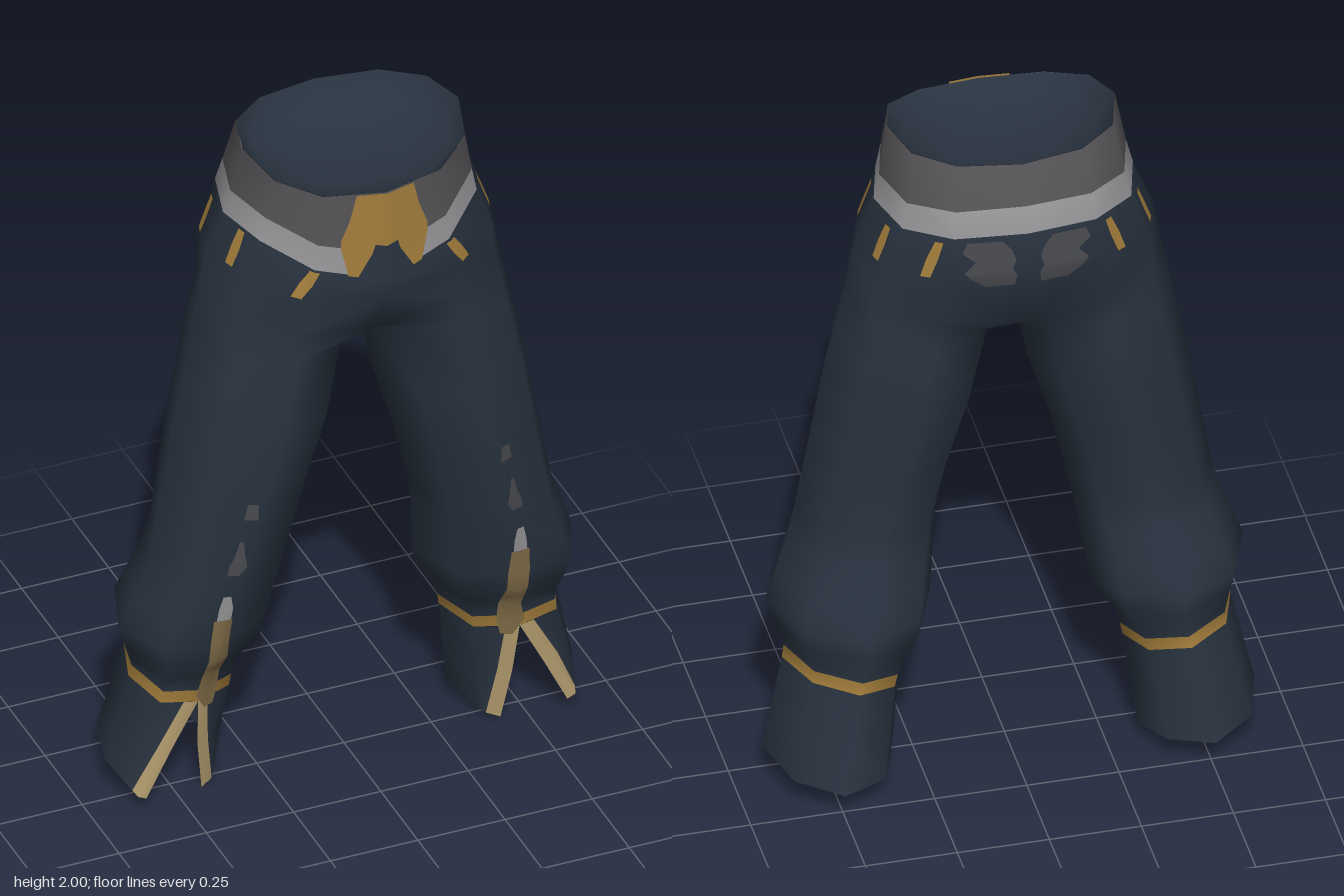
import * as THREE from 'three';

const flat = (name, color) => {
  const m = new THREE.MeshStandardMaterial({ color, side: THREE.DoubleSide });
  m.name = name;
  return m;
};
const MAT = {
  navy: flat('navy cloth', 0x293340),
  grey: flat('waistband grey', 0x555356),
  worn: flat('worn grey', 0x4a4b50),
  silver: flat('trim silver', 0x97979a),
  gold: flat('gold', 0xa47e3c),
  tan: flat('pale gold edging', 0xb29c6e),
  bronze: flat('bronze placket', 0x84704a),
};

const { lerp, degToRad } = THREE.MathUtils;
const HALF = 6; // segments round half the hips, and round the outside of a leg
const power = (v, n) => Math.sign(v) * Math.abs(v) ** (2 / n);
const mix = (p, q, f) => p.map((v, i) => lerp(v, q[i], f));

// Hip rings: y at front, side and back, half width, front z, back z, sharpness of the front dip
const HIPS = [
  [1.93, 2.0, 1.99, 0.31, 0.285, -0.2, 1.2],
  [1.735, 1.86, 1.885, 0.335, 0.287, -0.245, 4],
  [1.655, 1.79, 1.81, 0.352, 0.29, -0.265, 4],
  [1.6, 1.66, 1.69, 0.403, 0.29, -0.27, 4],
  [1.48, 1.52, 1.49, 0.43, 0.245, -0.217, 2],
];

// Leg sections: y, outer x, inner x, front z, back z, forward shift of the outer side
const LEG = [
  [1.43, 0.449, 0.021, 0.25, -0.215, 0],
  [1.2, 0.495, 0.068, 0.26, -0.205, 0],
  [1.0, 0.53, 0.13, 0.245, -0.19, 0],
  [0.8, 0.565, 0.175, 0.22, -0.175, 0.01],
  [0.72, 0.582, 0.19, 0.205, -0.195, 0.025],
  [0.54, 0.648, 0.213, 0.172, -0.26, 0.05],
  [0.48, 0.63, 0.225, 0.16, -0.252, 0.05],
  [0.4, 0.603, 0.283, 0.11, -0.24, 0.05],
  [0.34, 0.613, 0.3, 0.102, -0.245, 0.05],
  [0.08, 0.673, 0.333, 0.088, -0.292, 0.06],
  [0.0, 0.68, 0.338, 0.085, -0.295, 0.06],
];

// Corner k of hip ring i, counted from the front
function hipCorner(i, k, off) {
  const [yf, ys, yb, hx, zf, zb, dip] = HIPS[i];
  const a = (k * Math.PI) / HALF, c = Math.cos(a);
  const y = lerp(ys, c > 0 ? yf : yb, Math.abs(c) ** dip);
  const x = k % HALF ? power(Math.sin(a), 2.3) * (hx + off) : 0;
  return [x, y, (zf + zb) / 2 + power(c, 2.3) * ((zf - zb) / 2 + off)];
}

// Point on the faceted hips: angle from the front, ring position t, outward offset
function hipPoint(a, t, off) {
  const i = Math.min(Math.floor(t), HIPS.length - 2);
  const f = (a * HALF) / Math.PI, k = Math.min(Math.floor(f), HALF - 1);
  const along = (ring) => mix(hipCorner(ring, k, off), hipCorner(ring, k + 1, off), f - k);
  return mix(along(i), along(i + 1), t - i);
}

function legSection(y) {
  let i = 0;
  while (i < LEG.length - 2 && LEG[i + 1][0] > y) i++;
  const f = (LEG[i][0] - y) / (LEG[i][0] - LEG[i + 1][0]);
  const [, xo, xi, zf, zb, shift] = mix(LEG[i], LEG[i + 1], f);
  return { cx: (xo + xi) / 2, hx: (xo - xi) / 2, cz: (zf + zb) / 2, hz: (zf - zb) / 2, shift };
}

// Point on an eight-sided leg: degrees from the front towards the outside
function legPoint(deg, y) {
  const s = legSection(y), k = Math.floor(deg / 45);
  const corner = (n) => {
    const sin = Math.sin(degToRad(n * 45)), cos = Math.cos(degToRad(n * 45));
    const forward = s.shift * Math.max(sin, 0) * (1 + cos / 2);
    return [s.cx + s.hx * sin, y, s.cz + s.hz * cos + forward];
  };
  return mix(corner(k), corner(k + 1), deg / 45 - k);
}

// Point on the two front facets of a leg at a given x, slightly raised
function shinPoint(x, y) {
  const s = legSection(y), d = (x - s.cx) / s.hx;
  return [x, y, s.cz + s.hz * (1 - 0.414 * Math.abs(d)) + 1.354 * s.shift * Math.max(d, 0) + 0.009];
}

// Sloping height of the ankle band
const slope = (deg) => 0.022 * Math.sin(degToRad(deg)) - 0.025 * Math.cos(degToRad(deg));

export function createModel() {
  const positions = [], all = [], lookup = new Map(), parts = new Map();

  // Shared vertices keep the normals smooth across neighbouring parts
  function vertex(p) {
    const key = p.map((v) => Math.round(v * 1e5)).join();
    if (!lookup.has(key)) {
      lookup.set(key, positions.length / 3);
      positions.push(...p);
    }
    return lookup.get(key);
  }

  // Skin a grid of points, rows running down and columns from front to outside
  function skin(name, material, rows, mirrored) {
    if (!parts.has(name)) parts.set(name, { material, index: [] });
    const { index } = parts.get(name);
    const ids = rows.map((row) => row.map(([x, y, z]) => vertex([mirrored && x ? -x : x, y, z])));
    for (let r = 0; r < ids.length - 1; r++) {
      for (let k = 0; k < ids[r].length - 1; k++) {
        const a = ids[r][k], b = ids[r][k + 1], c = ids[r + 1][k + 1], d = ids[r + 1][k];
        const tris = mirrored ? [a, c, d, a, b, c] : [a, d, c, a, c, b];
        index.push(...tris);
        all.push(...tris);
      }
    }
  }

  // Thin painted patch: rows of [position, start, end]
  const patch = (rows, point) => rows.map(([t, a, b]) =>
    [0, 1, 2, 3, 4].map((k) => point(lerp(a, b, k / 4), t)));

  const hipRow = (i) => Array.from({ length: HALF + 1 }, (_, k) => hipCorner(i, k, 0));
  const hipPatch = (rows, off = 0.008) => patch(rows, (a, t) => hipPoint(a, t, off));
  const legRow = (y, tilt = 0) => Array.from({ length: 9 }, (_, k) =>
    legPoint(45 * (k - 1), y + tilt * slope(45 * (k - 1))));

  for (const mirrored of [false, true]) {
    const side = mirrored ? 'right' : 'left';

    // Hips and waistband
    skin('waistband', MAT.grey, [hipRow(0), hipRow(1)], mirrored);
    skin('waistTrim', MAT.silver, [hipRow(1), hipRow(2)], mirrored);
    skin('hips', MAT.navy, [hipRow(2), hipRow(3), hipRow(4)], mirrored);

    // Dished lining inside the waist: scale, share of the rim height
    const lining = [[0, 0], [0.5, 0.08], [0.85, 0.4], [0.995, 1]].map(([s, f]) =>
      hipRow(0).map(([x, y, z]) => [x * s, lerp(1.88, y, f), lerp(0.04, z, s)]));
    skin('lining', MAT.navy, lining, mirrored);

    // Leg, starting from half the hip ring closed by the crotch line
    const top = [...hipRow(4), [0, 1.45, 0], hipCorner(4, 0, 0)];
    const bandTop = legRow(0.376, 1), bandBottom = legRow(0.34, 1);
    const heights = [1.43, 1.2, 1.0, 0.8, 0.72, 0.62, 0.54, 0.48];
    skin(side + 'Leg', MAT.navy,
      [top, ...heights.map((y) => legRow(y)), legRow(0.415, 0.5), bandTop], mirrored);
    skin(side + 'AnkleBand', MAT.gold, [bandTop, bandBottom], mirrored);

    // Cuff split open at the front: columns of [top angle, hem angle, hem height]
    const cuff = (columns) => [0, 0.5, 1].map((t) => columns.map(([a, b, hem]) => {
      const deg = lerp(a, b, t);
      return legPoint(deg, lerp(0.34 + slope(deg), hem, t));
    }));
    const outerEdge = [17, 53, 0.055], innerEdge = [346, 317, 0.012];
    const wall = [0.1, 0.09, 0.08, 0.075, 0.045].map((hem, k) => [45 * (k + 2), 45 * (k + 2), hem]);
    skin(side + 'Cuff', MAT.navy,
      cuff([outerEdge, [45, 63, 0.068], ...wall, [315, 308, 0.018], innerEdge]), mirrored);
    skin(side + 'CuffEdging', MAT.tan, cuff([[0, 36, 0.035], [9, 45, 0.046], outerEdge]), mirrored);
    skin(side + 'CuffEdging', MAT.tan, cuff([innerEdge, [360, 330, 0]]), mirrored);

    // Shin placket with its tip and the small marks above
    const shin = (name, mat, rows) => skin(side + name, mat, patch(rows, shinPoint), mirrored);
    shin('Placket', MAT.bronze, [[0.62, 0.4, 0.452], [0.54, 0.4, 0.457], [0.48, 0.4, 0.457],
      [0.44, 0.4, 0.457], [0.4, 0.4, 0.457], [0.34, 0.4, 0.47], [0.29, 0.412, 0.442]]);
    shin('PlacketTip', MAT.silver, [[0.7, 0.41, 0.43], [0.66, 0.403, 0.44], [0.62, 0.405, 0.445]]);
    shin('KneeMark', MAT.worn, [[0.88, 0.383, 0.392], [0.83, 0.378, 0.405],
      [0.8, 0.373, 0.419], [0.77, 0.392, 0.422]]);
    shin('ThighMark', MAT.worn, [[1.0, 0.348, 0.373], [0.95, 0.348, 0.384]]);

    // Buckle wing, with cloth showing below its middle
    skin('buckle', MAT.gold, hipPatch([[0, 0, 0.245], [0.45, 0, 0.29], [0.85, 0, 0.35]]), mirrored);
    skin('buckle', MAT.gold, hipPatch([[0.85, 0.09, 0.35], [1, 0.11, 0.345], [2, 0.21, 0.28]]), mirrored);
    skin('fly', MAT.navy, hipPatch([[0.83, 0, 0.14], [1, 0, 0.16], [2.02, 0, 0.24]], 0.005), mirrored);

    // Gold loops below the trim: top angle, bottom angle, top and bottom position
    for (const [a, b, t0, t1] of [[0.52, 0.6, 2.02, 2.95], [1.27, 1.27, 2.02, 2.8],
      [1.92, 1.92, 2.15, 2.9], [2.49, 2.45, 2.1, 2.95]]) {
      skin('beltLoops', MAT.gold, hipPatch([[t0, a - 0.04, a + 0.04],
        [(t0 + t1) / 2, (a + b) / 2 - 0.055, (a + b) / 2 + 0.05], [t1, b - 0.045, b + 0.045]]), mirrored);
    }

    // Worn patch on the seat
    skin('seatPatches', MAT.worn, hipPatch([[2.1, 2.72, 2.96], [2.35, 2.7, 3.03], [2.6, 2.8, 3.06],
      [2.85, 2.74, 3.04], [3, 2.78, 3.07], [3.2, 2.88, 3.06]]), mirrored);
  }

  const base = new THREE.BufferGeometry();
  base.setAttribute('position', new THREE.Float32BufferAttribute(positions, 3));
  base.setIndex(all);
  base.computeVertexNormals();

  const group = new THREE.Group();
  group.name = 'trousers';
  for (const [name, { material, index }] of parts) {
    const geometry = new THREE.BufferGeometry();
    geometry.setAttribute('position', base.getAttribute('position'));
    geometry.setAttribute('normal', base.getAttribute('normal'));
    geometry.setIndex(index);
    const mesh = new THREE.Mesh(geometry, material);
    mesh.name = name;
    group.add(mesh);
  }
  return group;
}
